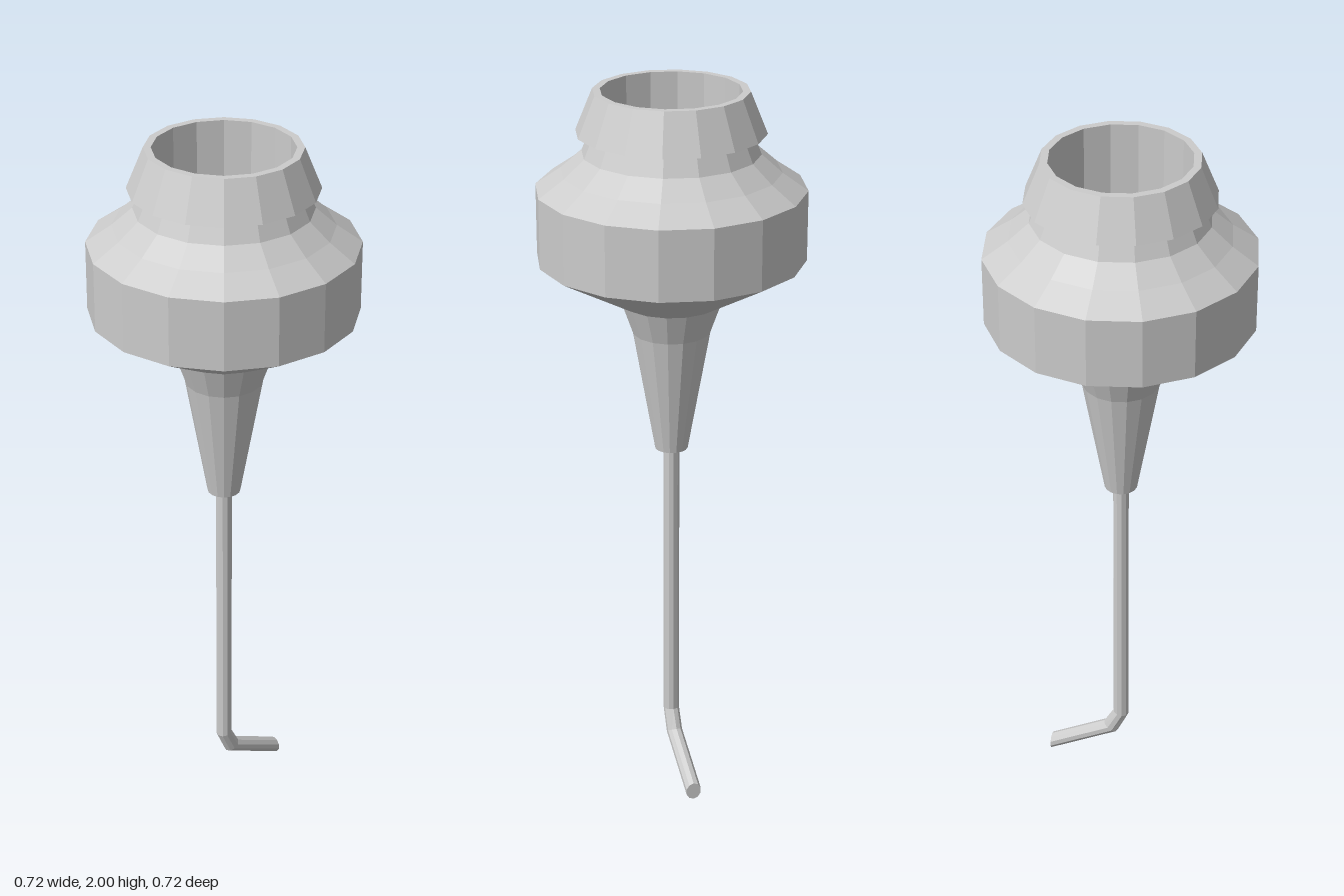
import * as THREE from 'three';

const SIDES = 16;
const material = new THREE.MeshStandardMaterial({ color: 0xcccccc, flatShading: true });

// Turned part from [radius, height] points, listed bottom to top along the outside
function turned(name, profile) {
  const points = profile.map(([r, y]) => new THREE.Vector2(r, y));
  const mesh = new THREE.Mesh(new THREE.LatheGeometry(points, SIDES), material);
  mesh.name = name;
  return mesh;
}

// Rod lofted through mitred rings: centre (x, y) and in-plane half axis (ux, uy)
function bentRod(rings, radius, sides) {
  const positions = [];
  const index = [];
  for (const [x, y, ux, uy] of rings) {
    for (let j = 0; j < sides; j++) {
      const a = (j / sides) * Math.PI * 2;
      positions.push(x + ux * Math.cos(a), y + uy * Math.cos(a), radius * Math.sin(a));
    }
  }
  for (let i = 0; i < rings.length - 1; i++) {
    for (let j = 0; j < sides; j++) {
      const k = (j + 1) % sides;
      const a = i * sides + j, b = i * sides + k;
      index.push(a, b, b + sides, a, b + sides, a + sides);
    }
  }
  // Close the tip
  const last = (rings.length - 1) * sides;
  const [tx, ty] = rings[rings.length - 1];
  positions.push(tx, ty, 0);
  for (let j = 0; j < sides; j++) {
    index.push(rings.length * sides, last + j, last + ((j + 1) % sides));
  }
  const geometry = new THREE.BufferGeometry();
  geometry.setAttribute('position', new THREE.Float32BufferAttribute(positions, 3));
  geometry.setIndex(index);
  geometry.computeVertexNormals();
  return geometry;
}

export function createModel() {
  const model = new THREE.Group();
  model.name = 'bentTipNozzle';

  // Tapered holder for the rod
  model.add(turned('taperedNeck', [
    [0, 1.0], [0.045, 1.0], [0.105, 1.34], [0.135, 1.425],
  ]));

  // Wide bulb with sloping shoulder
  model.add(turned('bulb', [
    [0.135, 1.425], [0.358, 1.55], [0.358, 1.74], [0.29, 1.787], [0.235, 1.835], [0.212, 1.89],
  ]));

  // Flared collar, open at the top, with a shallow cone on the socket floor
  model.add(turned('collarAndSocket', [
    [0.205, 1.89], [0.25, 1.89], [0.205, 2.0], [0.185, 2.0], [0.185, 1.62], [0, 1.72],
  ]));

  // Thin rod with a two-step bend toward its tip
  const rod = new THREE.Mesh(bentRod([
    [0, 1.02, 0.022, 0],
    [0, 0.182, 0.022, 0.004],
    [0.03, 0.122, 0.02, 0.014],
    [0.212, 0.025, 0, 0.025],
  ], 0.022, 10), material);
  rod.name = 'bentRod';
  model.add(rod);

  return model;
}
